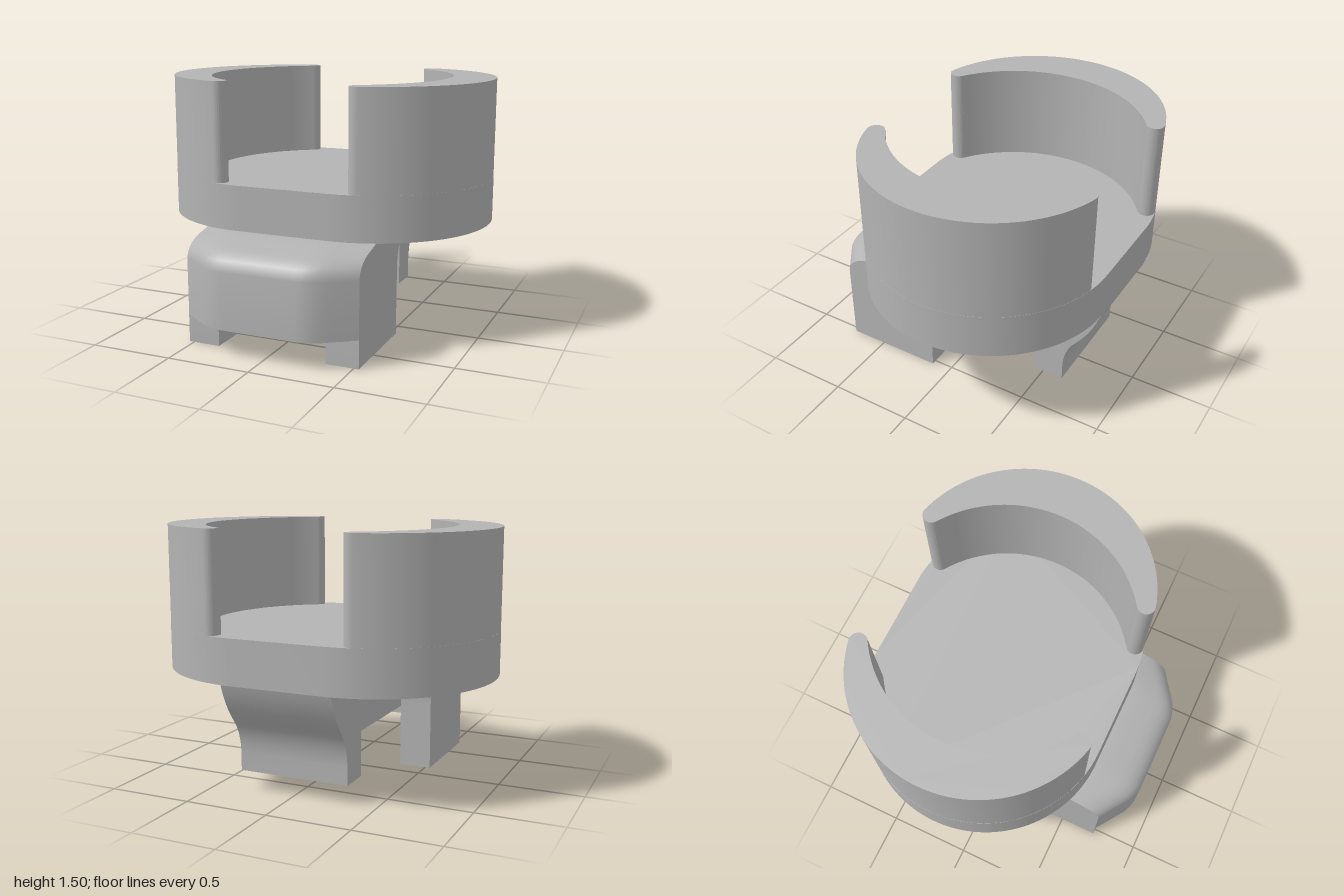
import * as THREE from 'three';
import { toCreasedNormals } from 'three/addons/utils/BufferGeometryUtils.js';

const BODY_HALF = 0.53;   // half width of the foot body
const INNER_HALF = 0.335; // half width of the spine and rear leg
const DECK_Y = 0.655;     // underside of the cup
const CUP_Z = -0.1525;

// Rounded shoulder shared by the nose and the side legs: [height, setback]
const SHOULDER = [[0.5, 0], [0.53, 0.006], [0.56, 0.025], [0.585, 0.055],
  [0.602, 0.09], [0.615, 0.13], [0.635, 0.22], [DECK_Y, 0.31]];

// Half outline of the nose seen from above: [x, z]
const NOSE_PLAN = [[0, 0.885], [0.22, 0.885], [0.26, 0.882], [0.3, 0.872],
  [0.35, 0.85], [0.4, 0.815], [BODY_HALF, 0.725]];

export function createModel() {
  const group = new THREE.Group();
  const grey = new THREE.MeshStandardMaterial({ color: 0xb3b3b3 });
  grey.name = 'grey';

  const add = (name, geometry) => {
    const mesh = new THREE.Mesh(toCreasedNormals(geometry, 0.5), grey);
    mesh.name = name;
    group.add(mesh);
  };

  // Plan shape (x, z) raised between two heights
  const raise = (shape, y0, y1) =>
    new THREE.ExtrudeGeometry(shape, { depth: y1 - y0, bevelEnabled: false, curveSegments: 48 })
      .rotateX(-Math.PI / 2).translate(0, y0, CUP_Z);

  // Side profile (z, y) stretched between two x positions
  const stretch = (shape, x0, x1) =>
    new THREE.ExtrudeGeometry(shape, { depth: x1 - x0, bevelEnabled: false, curveSegments: 16 })
      .rotateY(-Math.PI / 2).translate(x1, 0, 0);

  // Cup floor: two half circles joined by straight edges
  const floor = new THREE.Shape();
  floor.absarc(0.268, 0, 0.7325, -Math.PI / 2, Math.PI / 2, false);
  floor.absarc(-0.268, 0, 0.7325, Math.PI / 2, Math.PI * 1.5, false);
  floor.closePath();
  add('cupFloor', raise(floor, DECK_Y, 0.92));

  // Crescent cup walls with rounded tips
  const tip = { x: 0.43, y: 0.66, r: 0.052 };
  const outer = Math.atan2(tip.y, tip.x - 0.268);
  const inner = Math.atan2(tip.y, tip.x);
  for (const side of ['left', 'right']) {
    const wall = new THREE.Shape();
    wall.absarc(0.268, 0, 0.7315, -outer, outer, false);
    wall.absarc(tip.x, tip.y, tip.r, outer, inner + Math.PI, false);
    wall.absarc(0, 0, 0.7357, inner, -inner, true);
    wall.absarc(tip.x, -tip.y, tip.r, Math.PI - inner, 2 * Math.PI - outer, false);
    const geometry = raise(wall, 0.9, 1.505);
    if (side === 'right') {
      geometry.translate(0, 0, -CUP_Z).rotateY(Math.PI).translate(0, 0, CUP_Z);
    }
    add(side + 'CupWall', geometry);
  }

  // Front legs: thick side plates with an arched rear edge
  const leg = new THREE.Shape();
  leg.moveTo(0.12, 0);
  leg.lineTo(0.725, 0);
  for (const [y, setback] of SHOULDER) leg.lineTo(0.725 - setback, y);
  leg.lineTo(-0.2, DECK_Y);
  leg.bezierCurveTo(0.05, 0.61, 0.12, 0.56, 0.12, 0.4);
  leg.closePath();
  add('leftFrontLeg', stretch(leg, INNER_HALF, BODY_HALF));
  add('rightFrontLeg', stretch(leg, -BODY_HALF, -INNER_HALF));

  // Spine under the cup, running into the flared rear leg
  const spine = new THREE.Shape();
  spine.moveTo(0.41, 0.375);
  spine.lineTo(0.41, DECK_Y);
  spine.lineTo(-0.885, DECK_Y);
  spine.quadraticCurveTo(-0.84, 0.52, -0.745, 0.41);
  spine.quadraticCurveTo(-0.685, 0.33, -0.68, 0.22);
  spine.lineTo(-0.68, 0.11);
  spine.lineTo(-0.495, 0.11);
  spine.lineTo(-0.495, 0.375);
  spine.closePath();
  add('spineAndRearLeg', stretch(spine, -INNER_HALF, INNER_HALF));

  // Nose: closed side profiles lofted across x, following the plan outline
  const plan = [...NOSE_PLAN.slice(1).reverse().map(([x, z]) => [-x, z]), ...NOSE_PLAN];
  const columns = plan.map(([x, z]) => [
    [x, 0.165, z],
    ...SHOULDER.map(([y, setback]) => [x, y, z - setback]),
    [x, DECK_Y, 0.38], [x, 0.375, 0.38], [x, 0.375, 0.7], [x, 0.165, 0.7],
  ]);
  const rows = columns[0].length;
  const index = [];
  for (let i = 0; i < columns.length - 1; i++) {
    for (let j = 0; j < rows; j++) {
      const k = (j + 1) % rows;
      const a = i * rows + j, b = a + rows, c = (i + 1) * rows + k, d = i * rows + k;
      index.push(a, b, c, a, c, d);
    }
  }
  const nose = new THREE.BufferGeometry();
  nose.setAttribute('position', new THREE.Float32BufferAttribute(columns.flat(2), 3));
  nose.setIndex(index);
  add('nose', nose);

  return group;
}
